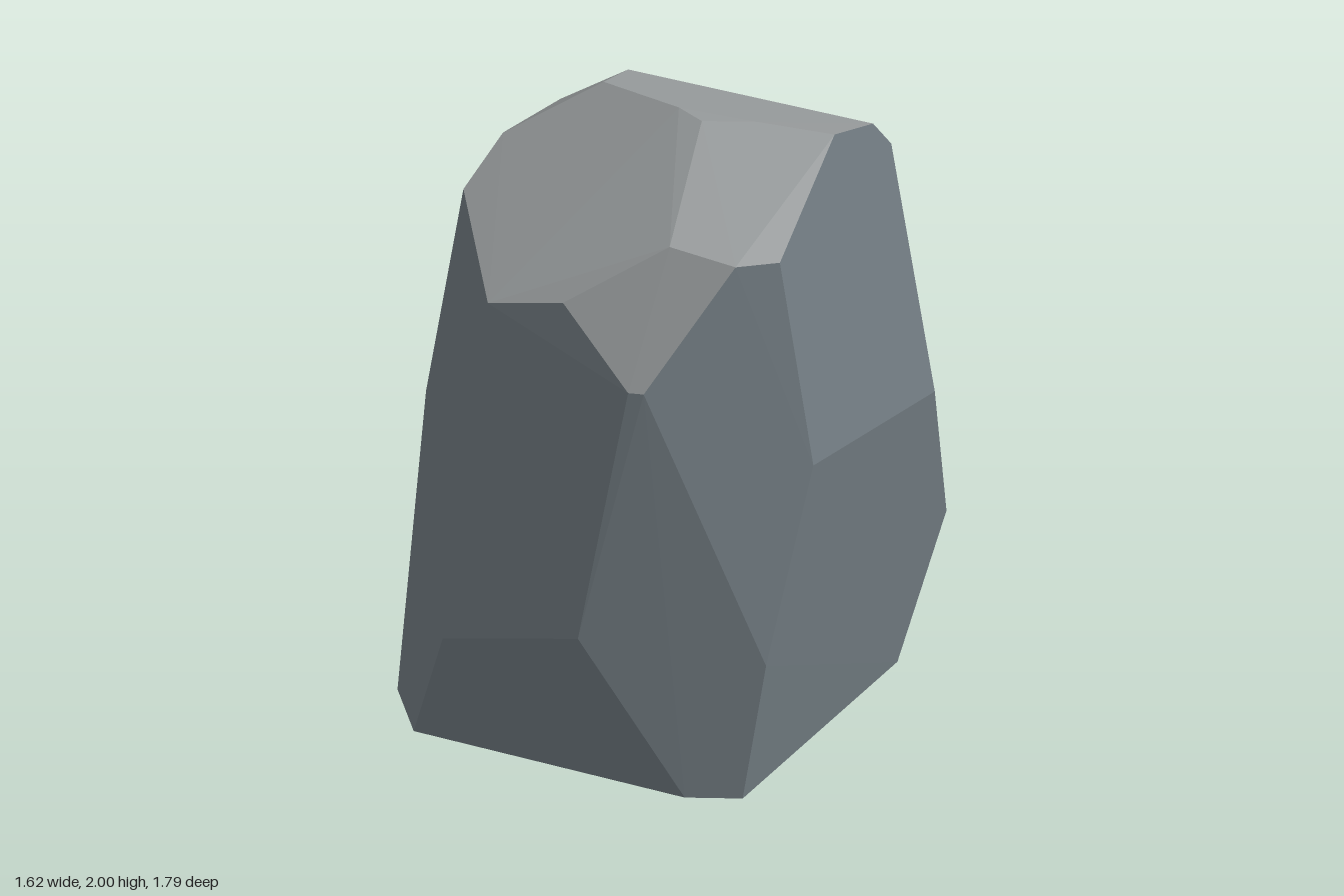
import * as THREE from 'three';
import { ConvexGeometry } from 'three/addons/geometries/ConvexGeometry.js';

// Corners of the boulder, ring by ring from the ground up: x, y, z
const base = [
  0.41, 0, 0.85, 0.23, 0, 0.88, -0.7, 0, 0.59, -0.81, 0, 0.31,
  -0.61, 0, -0.22, -0.33, 0, -0.77, 0.43, 0, -0.73, 0.69, 0, -0.2,
];
const lower = [
  0.48, 0.46, 0.825, -0.11, 0.53, 0.895, -0.58, 0.4, 0.72,
  0.08, 0.23, -0.9, 0.44, 0.08, -0.78, 0.73, 0.45, -0.6, 0.8, 0.43, -0.43,
];
const middle = [
  0.6, 1.1, 0.67, 0.81, 0.96, -0.2, -0.77, 0.93, 0.06,
  -0.7, 0.85, -0.15, -0.5, 1.15, -0.5,
];
const shoulder = [
  0.04, 1.38, 0.84, 0.09, 1.38, 0.84, -0.2, 1.6, 0.69, 0.13, 1.8, 0.63,
  0.35, 1.77, 0.67, 0.48, 1.77, 0.61, -0.46, 1.53, 0.6, -0.65, 1.65, 0.06,
  -0.56, 1.77, -0.12, -0.44, 1.75, -0.43, -0.28, 1.8, -0.5,
  0.08, 1.46, -0.7, 0.61, 1.55, -0.47, 0.66, 1.79, -0.25,
];
const crown = [
  0.62, 1.9, -0.16, 0.55, 1.98, 0.1, 0.3, 2, 0.1, 0.13, 2, 0.13,
  0.04, 2, 0.05, -0.25, 1.95, -0.18, -0.22, 1.88, -0.42,
];

const toPoints = (a) =>
  Array.from({ length: a.length / 3 }, (_, i) => new THREE.Vector3().fromArray(a, i * 3));

export function createModel() {
  const sideStone = new THREE.MeshStandardMaterial({ color: 0x737d83, side: THREE.DoubleSide, flatShading: true });
  sideStone.name = 'slateStone';
  const topStone = new THREE.MeshStandardMaterial({ color: 0x979b9c, side: THREE.DoubleSide, flatShading: true });
  topStone.name = 'paleStone';

  const hull = new ConvexGeometry([base, lower, middle, shoulder, crown].flatMap(toPoints));
  const pos = hull.attributes.position;

  // Sort the facets: pale upward ones, slate walls, and no underside
  const walls = [], caps = [];
  const tri = new THREE.Triangle(), normal = new THREE.Vector3();
  for (let i = 0; i < pos.count; i += 3) {
    tri.setFromAttributeAndIndices(pos, i, i + 1, i + 2);
    if (Math.max(tri.a.y, tri.b.y, tri.c.y) < 0.001) continue;
    tri.getNormal(normal);
    const isCap = normal.y > 0.35 && Math.min(tri.a.y, tri.b.y, tri.c.y) > 1.3;
    (isCap ? caps : walls).push(tri.a.clone(), tri.b.clone(), tri.c.clone());
  }

  const group = new THREE.Group();
  group.name = 'boulder';
  const add = (name, points, material) => {
    const geometry = new THREE.BufferGeometry().setFromPoints(points);
    geometry.computeVertexNormals();
    const mesh = new THREE.Mesh(geometry, material);
    mesh.name = name;
    group.add(mesh);
  };
  add('rockSides', walls, sideStone);
  add('rockTop', caps, topStone);
  return group;
}
